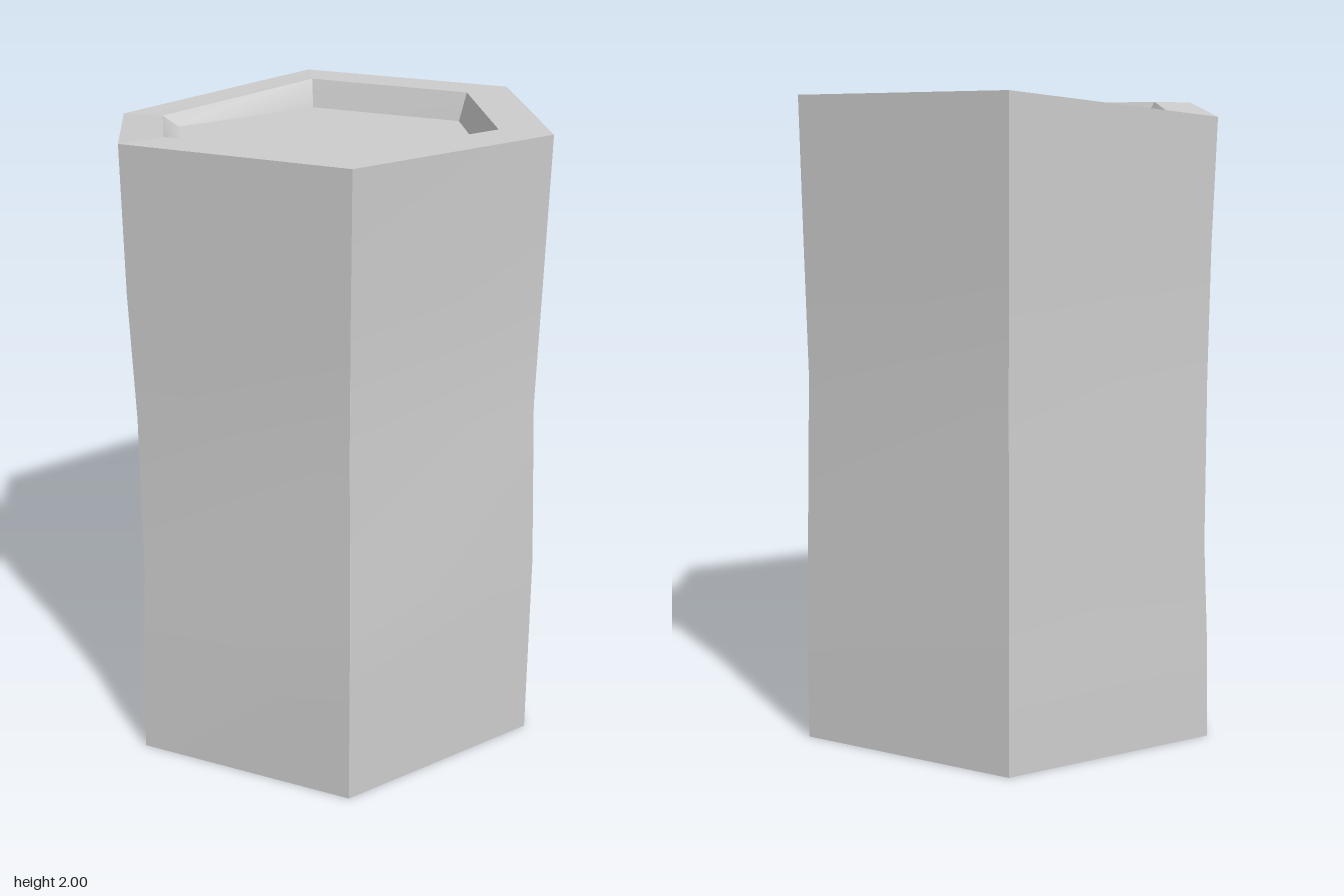
import * as THREE from 'three';

const SIDES = 6;
const material = new THREE.MeshStandardMaterial({ color: 0xcccccc });

// A hexagonal ring: one radius and one height per corner (a number means all equal).
// Corners run +x, front left, front right, -x, back right, back left.
function ring(radii, heights) {
  const at = (v, i) => (typeof v === 'number' ? v : v[i]);
  return Array.from({ length: SIDES }, (_, i) => {
    const a = (i * Math.PI * 2) / SIDES;
    const r = at(radii, i);
    return [Math.cos(a) * r, at(heights, i), Math.sin(a) * r];
  });
}

// Join rings with six panels, smooth along the height and sharp at the corners.
function loft(name, rings) {
  const group = new THREE.Group();
  group.name = name;
  for (let i = 0; i < SIDES; i++) {
    const positions = [];
    const index = [];
    rings.forEach((r, k) => {
      positions.push(...r[i], ...r[(i + 1) % SIDES]);
      if (k > 0) {
        const a = 2 * k - 2;
        index.push(a + 1, a, a + 2, a + 1, a + 2, a + 3);
      }
    });
    const geometry = new THREE.BufferGeometry();
    geometry.setAttribute('position', new THREE.Float32BufferAttribute(positions, 3));
    geometry.setIndex(index);
    geometry.computeVertexNormals();
    const panel = new THREE.Mesh(geometry, material);
    panel.name = name + 'Panel' + (i + 1);
    group.add(panel);
  }
  return group;
}

// Hexagonal floor of a recess
function recessFloor(name, radius, y, facing) {
  const floor = new THREE.Mesh(new THREE.CircleGeometry(radius, SIDES), material);
  floor.name = name;
  floor.rotation.x = (-facing * Math.PI) / 2;
  floor.position.y = y;
  return floor;
}

export function createModel() {
  const model = new THREE.Group();
  model.name = 'hexagonalColumn';

  // Shaft: uneven waist, with one chipped corner at the top
  const topHeights = [2, 2, 2, 1.935, 2, 2];
  const shaft = [
    ring([0.725, 0.725, 0.73, 0.73, 0.73, 0.725], 0),
    ring([0.725, 0.727, 0.724, 0.725, 0.727, 0.725], 0.3),
    ring([0.725, 0.73, 0.706, 0.71, 0.72, 0.718], 0.62),
    ring([0.704, 0.692, 0.707, 0.71, 0.706, 0.705], 1.15),
    ring([0.714, 0.7, 0.724, 0.716, 0.715, 0.715], 1.55),
    ring([0.725, 0.725, 0.73, 0.73, 0.73, 0.725], topHeights),
  ];
  model.add(loft('shaft', shaft));

  // Top rim, recess wall and floor
  const topLip = ring([0.555, 0.555, 0.58, 0.585, 0.56, 0.555], [2, 2, 2, 1.94, 2, 2]);
  model.add(loft('topRim', [shaft[shaft.length - 1], topLip]));
  model.add(loft('topRecessWall', [topLip, ring(0.525, 1.91)]));
  model.add(recessFloor('topRecessFloor', 0.525, 1.91, 1));

  // Bottom rim, recess wall and floor
  const bottomLip = ring(0.555, 0);
  model.add(loft('bottomRim', [bottomLip, shaft[0]]));
  model.add(loft('bottomRecessWall', [ring(0.525, 0.09), bottomLip]));
  model.add(recessFloor('bottomRecessFloor', 0.525, 0.09, -1));

  return model;
}
